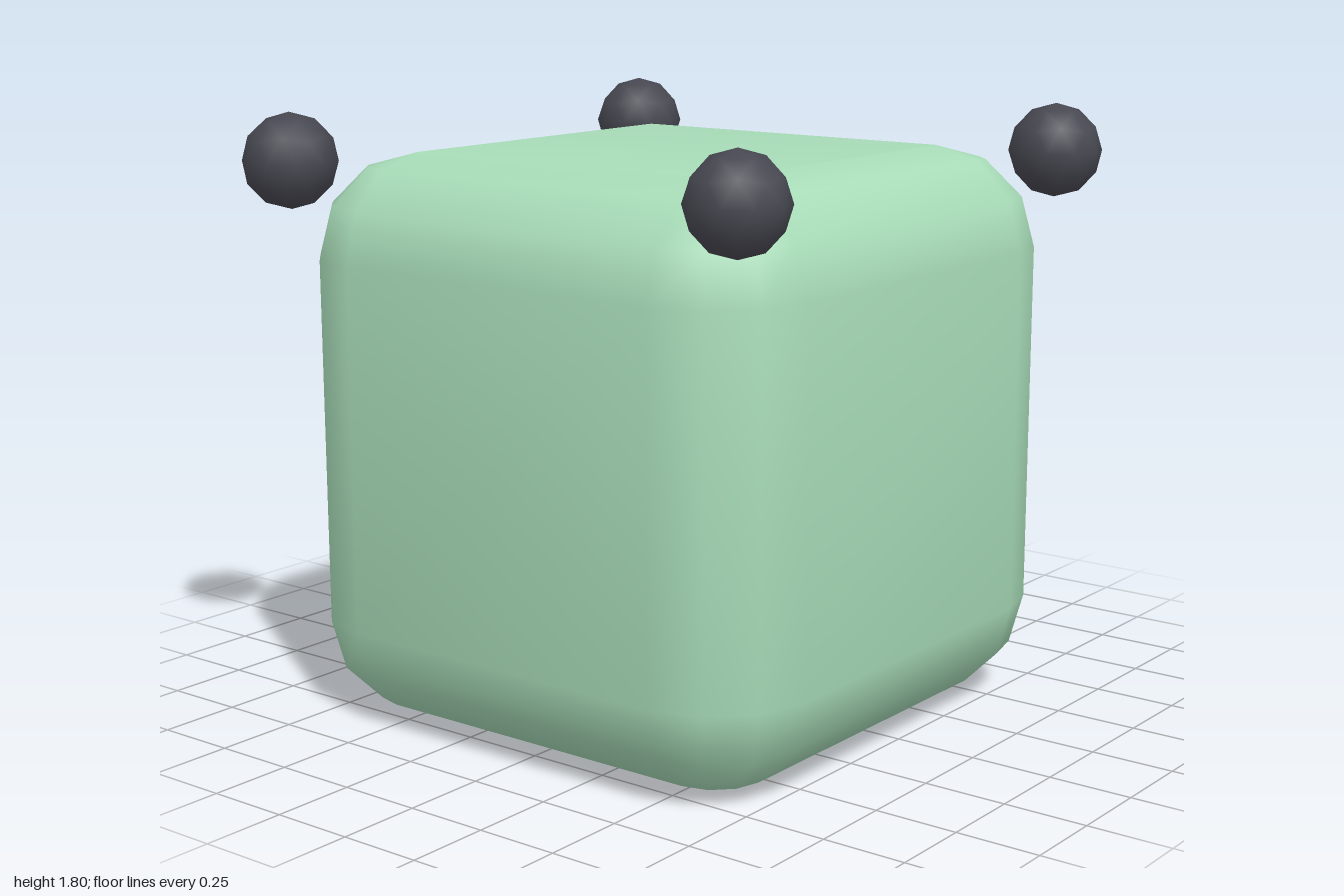
import * as THREE from 'three';

// Rounded cube from stacked rounded-square loops; three steps per rounded corner.
function roundedCube(size, radius, steps) {
  const core = size / 2 - radius;
  const tilt = 0.1; // softens the normals where flats meet the rounding
  const arc = i => (i / steps) * Math.PI / 2;
  const soft = i => tilt + (i / steps) * (Math.PI / 2 - 2 * tilt);
  const pos = [], nor = [], idx = [];
  const ring = 4 * (steps + 1), rows = 2 * (steps + 1);
  for (let r = 0; r < rows; r++) {
    const up = r > steps ? 1 : -1;
    const i = up > 0 ? r - steps - 1 : steps - r;
    const lat = arc(i), nLat = soft(i);
    for (let q = 0; q < 4; q++) {
      const mid = Math.PI / 4 + q * Math.PI / 2;
      const cx = Math.sign(Math.cos(mid)) * core, cz = Math.sign(Math.sin(mid)) * core;
      for (let j = 0; j <= steps; j++) {
        const a = q * Math.PI / 2 + arc(j), n = q * Math.PI / 2 + soft(j);
        const out = radius * Math.cos(lat);
        pos.push(cx + out * Math.cos(a), up * (core + radius * Math.sin(lat)), cz + out * Math.sin(a));
        nor.push(Math.cos(nLat) * Math.cos(n), up * Math.sin(nLat), Math.cos(nLat) * Math.sin(n));
      }
    }
  }
  for (let r = 0; r < rows - 1; r++) {
    for (let k = 0; k < ring; k++) {
      const a = r * ring + k, b = r * ring + (k + 1) % ring;
      idx.push(a, a + ring, b, b, a + ring, b + ring);
    }
  }
  // Flat bottom and top
  const s = steps + 1, top = (rows - 1) * ring;
  idx.push(0, s, 2 * s, 0, 2 * s, 3 * s);
  idx.push(top, top + 2 * s, top + s, top, top + 3 * s, top + 2 * s);
  const g = new THREE.BufferGeometry();
  g.setAttribute('position', new THREE.Float32BufferAttribute(pos, 3));
  g.setAttribute('normal', new THREE.Float32BufferAttribute(nor, 3));
  g.setIndex(idx);
  return g;
}

export function createModel() {
  const model = new THREE.Group();
  const material = (name, color) => {
    const m = new THREE.MeshStandardMaterial({ color });
    m.name = name;
    return m;
  };
  const green = material('mint green', 0xa8dcb8);
  const white = material('eye white', 0xe4e2dc);
  const dark = material('charcoal', 0x484852);

  const add = (name, geometry, mat, x, y, z) => {
    const mesh = new THREE.Mesh(geometry, mat);
    mesh.name = name;
    mesh.position.set(x, y, z);
    model.add(mesh);
  };

  add('body', roundedCube(1.68, 0.3, 3), green, -0.07, 0.84, 0);

  // Balls on the four top corners, one point of each straight up
  const ball = new THREE.IcosahedronGeometry(0.14, 1);
  ball.rotateZ(Math.atan2(2, 1 + Math.sqrt(5)));
  for (const x of [-0.867, 0.73])
    for (const z of [-0.8, 0.8]) add('cornerBall', ball, dark, x, 1.66, z);

  // Eyes on the +x side, with bulging pupils
  const eye = new THREE.SphereGeometry(0.18, 16, 12);
  const pupil = new THREE.SphereGeometry(0.112, 12, 8);
  for (const z of [-0.29, 0.29]) {
    add('eye', eye, white, 0.797, 1.2, z);
    add('pupil', pupil, dark, 0.884, 1.2, z);
  }
  return model;
}
